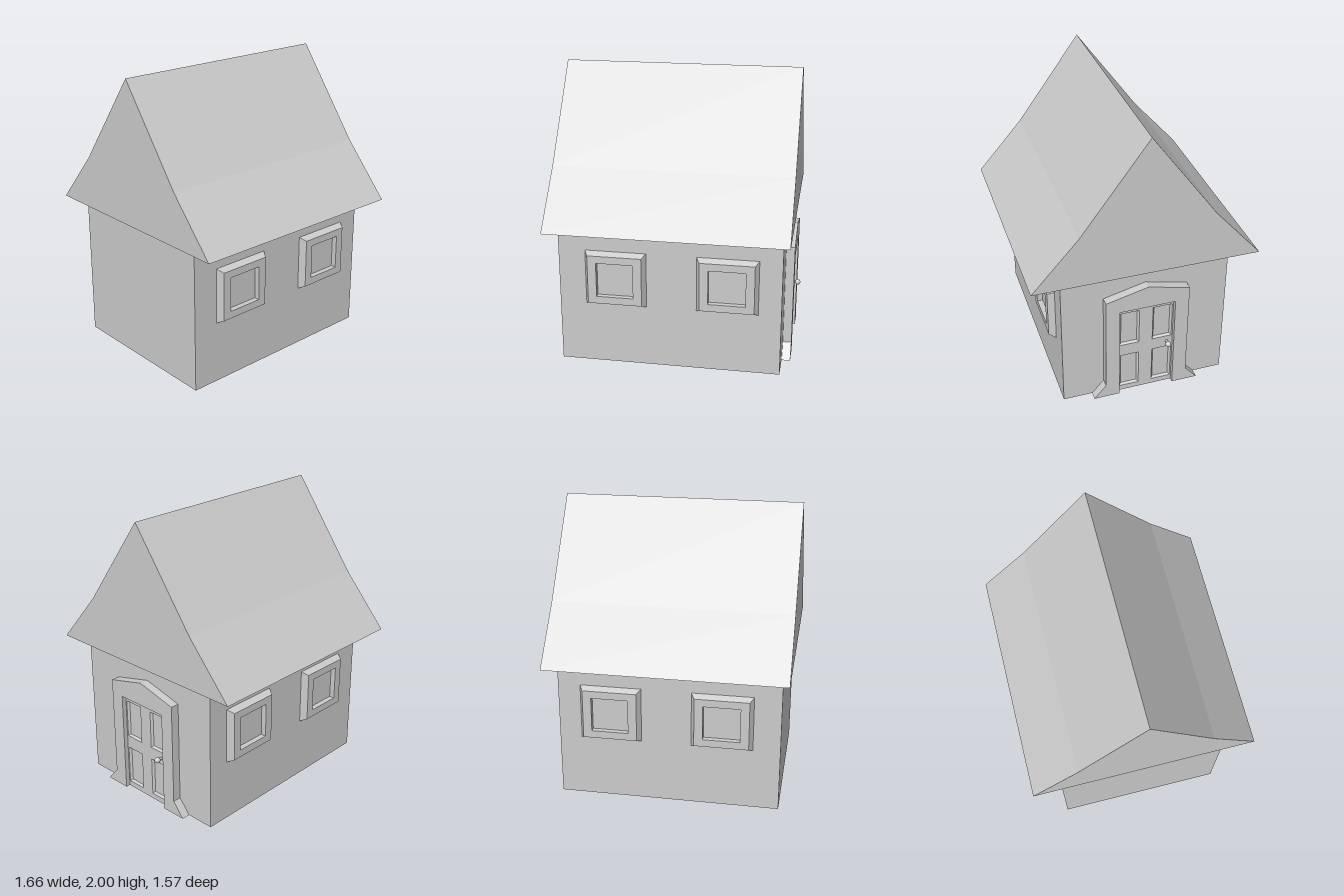
import * as THREE from 'three';

const material = new THREE.MeshStandardMaterial({ color: 0xcccccc, flatShading: true });
const smooth = new THREE.MeshStandardMaterial({ color: 0xcccccc });

function add(parent, name, geometry, x = 0, y = 0, z = 0, mat = material) {
  const mesh = new THREE.Mesh(geometry, mat);
  mesh.name = name;
  mesh.position.set(x, y, z);
  parent.add(mesh);
  return mesh;
}

// Rectangular cross-sections [width, height, z] joined in order; the last may be capped
function rectLoft(rings, cap = true) {
  const corners = rings.map(([w, h, z]) =>
    [[-1, -1], [1, -1], [1, 1], [-1, 1]].map(([sx, sy]) => [sx * w / 2, sy * h / 2, z]));
  const pos = [];
  const quad = (a, b, c, d) => pos.push(...a, ...b, ...c, ...a, ...c, ...d);
  for (let r = 0; r + 1 < corners.length; r++) {
    const a = corners[r], b = corners[r + 1];
    for (let i = 0; i < 4; i++) {
      const j = (i + 1) % 4;
      quad(a[i], a[j], b[j], b[i]);
    }
  }
  if (cap) quad(...corners[corners.length - 1]);
  const g = new THREE.BufferGeometry();
  g.setAttribute('position', new THREE.Float32BufferAttribute(pos, 3));
  g.computeVertexNormals();
  return g;
}

const toShape = pts => new THREE.Shape(pts.map(([x, y]) => new THREE.Vector2(x, y)));
const extrude = (shape, depth) => new THREE.ExtrudeGeometry(shape, { depth, bevelEnabled: false });

export function createModel() {
  const house = new THREE.Group();
  house.name = 'house';

  add(house, 'walls', new THREE.BoxGeometry(1.52, 0.98, 1.164), -0.02, 0.49, 0);

  // Sloping underside of the eaves
  const soffit = add(house, 'soffit',
    rectLoft([[1.52, 1.164, 0], [1.626, 1.568, 0.022]], false), -0.02, 0.98, 0);
  soffit.rotation.x = -Math.PI / 2;

  // Roof with a kink in each slope
  const gable = toShape([[-0.784, 1.002], [0.784, 1.002], [0.46, 1.37], [0, 2], [-0.46, 1.37]]);
  const roof = add(house, 'roof', extrude(gable, 1.626), -0.833, 0, 0);
  roof.rotation.y = Math.PI / 2;

  // Two bevelled windows on the front and two on the back
  const windowGeometry = rectLoft([
    [0.42, 0.39, 0], [0.37, 0.346, 0.046], [0.252, 0.242, 0.046], [0.252, 0.242, 0.008],
  ]);
  for (const side of [1, -1]) {
    for (const x of [-0.386, 0.376]) {
      const w = add(house, side > 0 ? 'frontWindow' : 'backWindow', windowGeometry, x, 0.63, side * 0.582);
      if (side < 0) w.rotation.y = Math.PI;
    }
  }

  // Doorway, built facing +z and turned towards +x
  const doorway = new THREE.Group();
  doorway.name = 'doorway';
  doorway.position.x = 0.74;
  doorway.rotation.y = Math.PI / 2;
  house.add(doorway);

  // Peaked surround with flared feet
  const half = [[0.195, 0], [0.378, 0], [0.293, 0.1], [0.293, 0.82]];
  const outline = [[0.195, 0.725], ...half, [0, 0.893],
    ...half.slice().reverse().map(([x, y]) => [-x, y]), [-0.195, 0.725]];
  add(doorway, 'doorFrame', extrude(toShape(outline), 0.06));

  // Door leaf with four sunken panels
  const leaf = toShape([[-0.195, 0], [0.195, 0], [0.195, 0.725], [-0.195, 0.725]]);
  const face = 0.028;
  for (const x of [-0.117, 0.117]) {
    for (const [y, h] of [[0.178, 0.276], [0.546, 0.274]]) {
      const w = 0.138;
      leaf.holes.push(new THREE.Path([[-1, -1], [-1, 1], [1, 1], [1, -1]].map(([sx, sy]) =>
        new THREE.Vector2(x + sx * w / 2, y + sy * h / 2))));
      add(doorway, 'doorPanel', rectLoft([[w, h, face], [w - 0.024, h - 0.024, face - 0.016]]), x, y, 0);
    }
  }
  add(doorway, 'doorLeaf', new THREE.ShapeGeometry(leaf), 0, 0, face);

  // Round knob on a short stem
  const stem = add(doorway, 'knobStem', new THREE.CylinderGeometry(0.009, 0.009, 0.05, 12), 0.152, 0.368, 0.05, smooth);
  stem.rotation.x = Math.PI / 2;
  add(doorway, 'doorKnob', new THREE.SphereGeometry(0.02, 16, 12), 0.152, 0.368, 0.069, smooth);

  return house;
}
